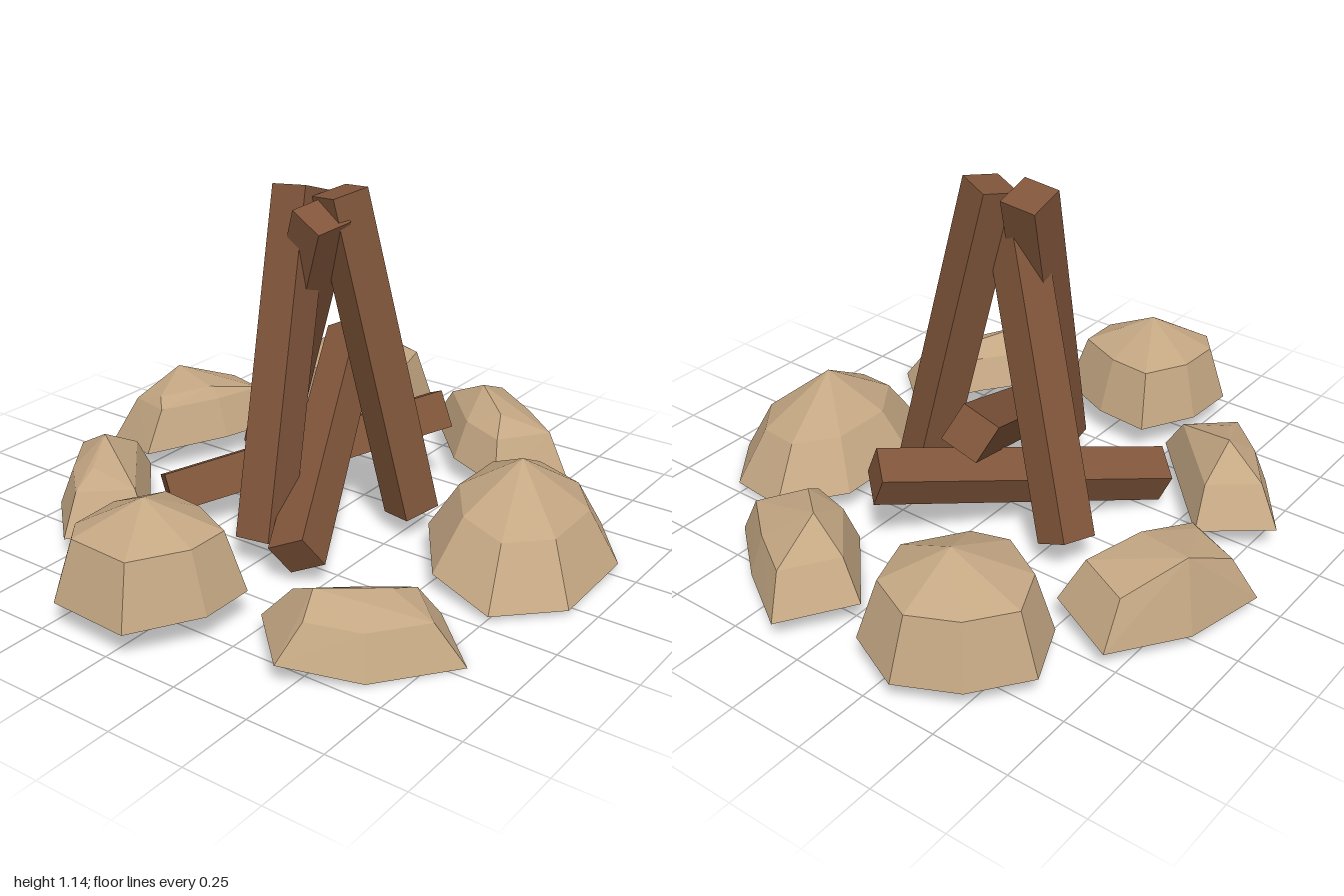
import * as THREE from 'three';
import { ConvexGeometry } from 'three/addons/geometries/ConvexGeometry.js';

export function createModel() {
  const model = new THREE.Group();
  model.name = 'campfire';

  const wood = new THREE.MeshStandardMaterial({ color: 0x80553a, flatShading: true });
  wood.name = 'brown wood';
  const stone = new THREE.MeshStandardMaterial({ color: 0xc4a783, flatShading: true, side: THREE.DoubleSide });
  stone.name = 'tan stone';

  // Square log between two end centres, rolled about its length (degrees)
  function log(name, from, to, roll, size = 0.125) {
    const a = new THREE.Vector3(...from), b = new THREE.Vector3(...to);
    const mesh = new THREE.Mesh(new THREE.BoxGeometry(size, size, a.distanceTo(b)), wood);
    mesh.name = name;
    mesh.position.copy(a).lerp(b, 0.5);
    mesh.lookAt(b);
    mesh.rotateZ(THREE.MathUtils.degToRad(roll));
    model.add(mesh);
  }

  // Faceted hollow stone: base outline, a narrower shoulder ring and one or more peaks.
  // The hull of these points is used without its underside.
  function rock(name, outline, shoulderScale, shoulderY, peaks) {
    const base = outline.map((p) => new THREE.Vector3(...p));
    const centre = new THREE.Vector3();
    base.forEach((p) => centre.addScaledVector(p, 1 / base.length));
    const shoulder = base.map((p) => {
      const s = p.clone().lerp(centre, 1 - shoulderScale);
      s.y = shoulderY + (p.y - centre.y) * 0.6;
      return s;
    });
    const tops = peaks.map((p) => new THREE.Vector3(...p));
    const hull = new ConvexGeometry([...base, ...shoulder, ...tops]);
    const pos = hull.attributes.position;
    const kept = [];
    const v = new THREE.Vector3();
    for (let i = 0; i < pos.count; i += 3) {
      const corners = [0, 1, 2].map((k) => v.fromBufferAttribute(pos, i + k).clone());
      const underside = corners.every((c) => base.some((p) => p.distanceTo(c) < 1e-4));
      if (!underside) corners.forEach((c) => kept.push(c.x, c.y, c.z));
    }
    const geometry = new THREE.BufferGeometry();
    geometry.setAttribute('position', new THREE.Float32BufferAttribute(kept, 3));
    geometry.computeVertexNormals();
    const mesh = new THREE.Mesh(geometry, stone);
    mesh.name = name;
    model.add(mesh);
  }

  // Three logs leaning together
  log('frontLeaningLog', [0.125, 0.08, 0.27], [0.015, 1.115, 0.06], -49);
  log('backLeaningLog', [0.19, 0.11, -0.36], [-0.075, 1.06, 0.06], 20);
  log('rightLeaningLog', [-0.33, 0.09, 0.03], [0.01, 1.11, -0.08], -18);

  // Two logs lying across the fire
  log('upperCrossLog', [-0.39, 0.11, 0.2], [0.39, 0.51, -0.15], -28);
  log('lowerCrossLog', [-0.3, 0.11, -0.39], [0.47, 0.28, 0.16], -25);

  // Rounded stones
  rock('frontStone', [
    [-0.165, 0.06, 0.535], [0.07, 0.08, 0.37], [0.37, 0.08, 0.37], [0.54, 0.06, 0.53],
    [0.49, 0.03, 0.76], [0.29, 0.02, 0.92], [-0.05, 0.02, 0.93], [-0.22, 0.02, 0.76],
  ], 0.68, 0.21, [[0.155, 0.35, 0.645]]);
  rock('backLeftStone', [
    [0.73, 0.08, -0.65], [0.9, 0.08, -0.525], [0.99, 0.08, -0.34], [0.905, 0.09, -0.145],
    [0.7, 0.1, -0.08], [0.48, 0.1, -0.23], [0.435, 0.1, -0.38], [0.54, 0.09, -0.57],
  ], 0.78, 0.285, [[0.73, 0.39, -0.35]]);
  rock('rightStone', [
    [-0.89, 0.09, -0.285], [-0.685, 0.1, -0.285], [-0.505, 0.1, -0.185], [-0.525, 0.1, 0],
    [-0.62, 0.1, 0.2], [-0.8, 0.1, 0.2], [-1, 0.09, 0.065], [-0.985, 0.09, -0.21],
  ], 0.78, 0.285, [[-0.77, 0.385, -0.05]]);

  // Long stones
  rock('backStone', [
    [0.02, 0.05, -0.93], [0.29, 0.05, -0.87], [0.52, 0.06, -0.72],
    [0.42, 0.09, -0.49], [0.19, 0.09, -0.55], [-0.07, 0.08, -0.69],
  ], 0.72, 0.21, [[0.25, 0.28, -0.82], [0.2, 0.26, -0.63], [0.06, 0.24, -0.74]]);
  rock('backRightStone', [
    [-0.28, 0.08, -0.83], [-0.12, 0.08, -0.63], [-0.31, 0.08, -0.46],
    [-0.51, 0.08, -0.28], [-0.685, 0.08, -0.475], [-0.51, 0.08, -0.665],
  ], 0.7, 0.2, [[-0.36, 0.285, -0.6], [-0.5, 0.24, -0.52]]);
  rock('leftStone', [
    [0.785, 0.09, -0.055], [0.995, 0.075, 0.1], [0.85, 0.06, 0.33],
    [0.685, 0.055, 0.53], [0.465, 0.06, 0.38], [0.53, 0.08, 0.18],
  ], 0.74, 0.2, [[0.73, 0.285, 0.17], [0.61, 0.25, 0.31]]);
  rock('frontRightStone', [
    [-0.66, 0.07, 0.28], [-0.46, 0.05, 0.47], [-0.28, 0.02, 0.64],
    [-0.455, 0, 0.835], [-0.7, 0.01, 0.665], [-0.845, 0.07, 0.47],
  ], 0.68, 0.15, [[-0.67, 0.225, 0.47], [-0.48, 0.18, 0.6]]);

  return model;
}
